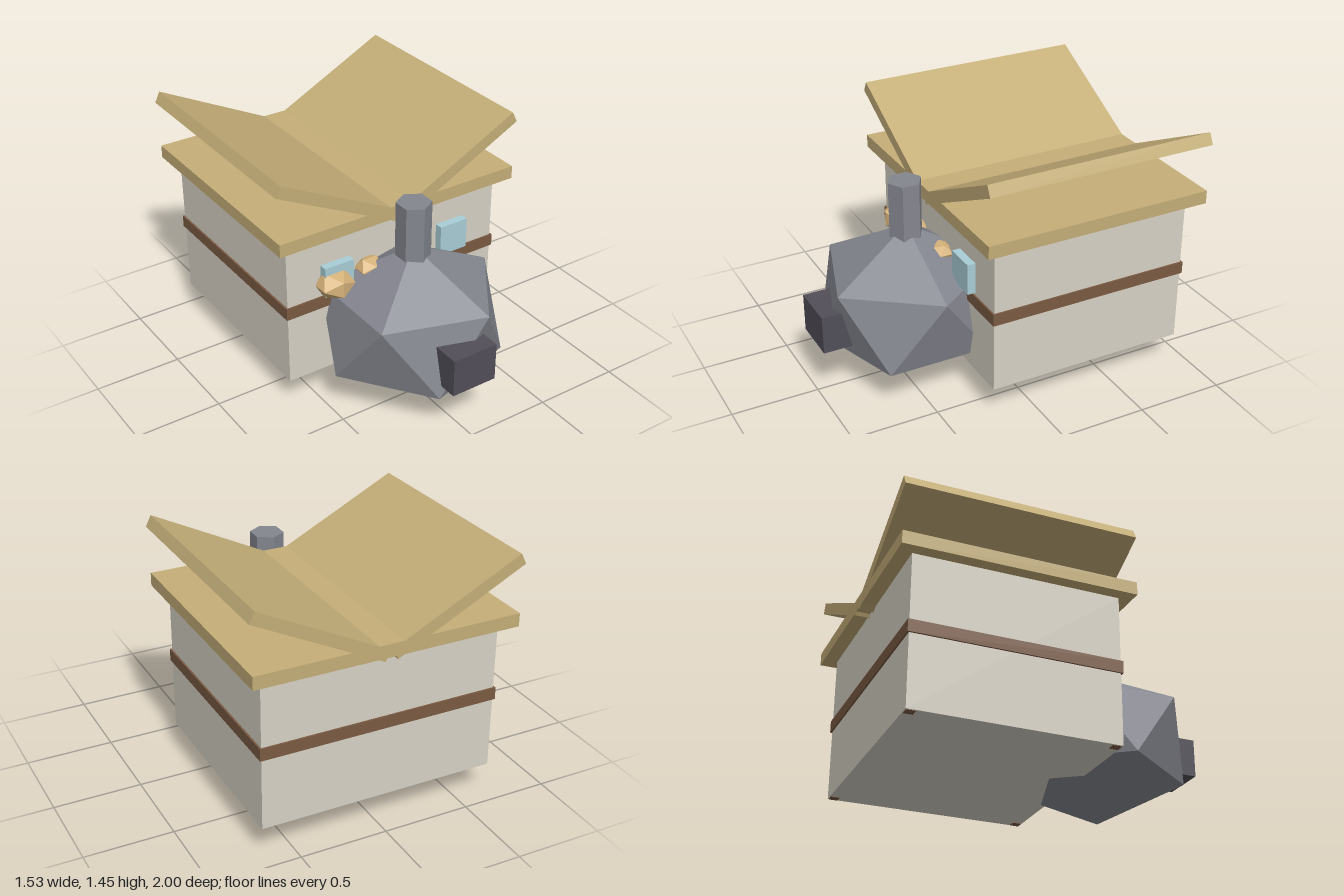
import * as THREE from 'three';
import { ConvexGeometry } from 'three/addons/geometries/ConvexGeometry.js';

const mat = (color) => new THREE.MeshStandardMaterial({ color, flatShading: true });

export function createModel() {
  const root = new THREE.Group();
  const plaster = mat(0xd6d1c4), straw = mat(0xc4ae78), wood = mat(0x7a5a42);
  const stone = mat(0x84868f), iron = mat(0x514e58), glass = mat(0xa9cdd6), amber = mat(0xd6b27a);

  const add = (name, geometry, material, x, y, z) => {
    const mesh = new THREE.Mesh(geometry, material);
    mesh.name = name;
    mesh.position.set(x, y, z);
    root.add(mesh);
    return mesh;
  };
  const box = (name, material, w, h, d, x, y, z) =>
    add(name, new THREE.BoxGeometry(w, h, d), material, x, y, z);

  // House body with a timber band and corner posts
  box('houseWalls', plaster, 1.36, 0.86, 1.17, 0, 0.61, -0.335);
  box('timberBand', wood, 1.38, 0.07, 1.19, 0, 0.625, -0.335);
  for (const x of [-0.65, 0.65]) {
    for (const z of [0.22, -0.89]) box('cornerPost', wood, 0.05, 0.85, 0.05, x, 0.602, z);
  }

  // Flat roof slab with two planks rising outward in a V
  box('roofSlab', straw, 1.51, 0.075, 1.325, 0, 1.077, -0.3375);
  for (const side of [-1, 1]) {
    const plank = box('roofPlank', straw, 0.82, 0.068, 1.325, side * 0.386, 1.235, -0.3375);
    plank.rotation.z = side * 0.467;
    box('window', glass, 0.18, 0.18, 0.06, side * 0.38, 0.765, 0.267);
  }

  // Faceted furnace: two staggered five-point rings between two tips
  const points = [new THREE.Vector3(0, -0.455, 0), new THREE.Vector3(0, 0.455, 0)];
  for (let i = 0; i < 10; i++) {
    const a = (i * Math.PI) / 5;
    points.push(new THREE.Vector3(0.5 * Math.cos(a), i % 2 ? -0.203 : 0.203, 0.5 * Math.sin(a)));
  }
  add('furnaceBody', new ConvexGeometry(points), stone, 0, 0.455, 0.432);
  add('chimney', new THREE.CylinderGeometry(0.097, 0.097, 0.35, 6), stone, 0, 1.003, 0.433);
  box('furnaceDoor', iron, 0.275, 0.222, 0.18, 0, 0.434, 0.908);

  // Faceted lumps along the front wall
  for (const [x, y, z, r] of [[-0.405, 0.74, 0.28, 0.115], [-0.18, 0.765, 0.285, 0.085], [0.13, 0.77, 0.28, 0.075]]) {
    add('lump', new THREE.IcosahedronGeometry(r, 0), amber, x, y, z).scale.y = 0.75;
  }

  return root;
}
